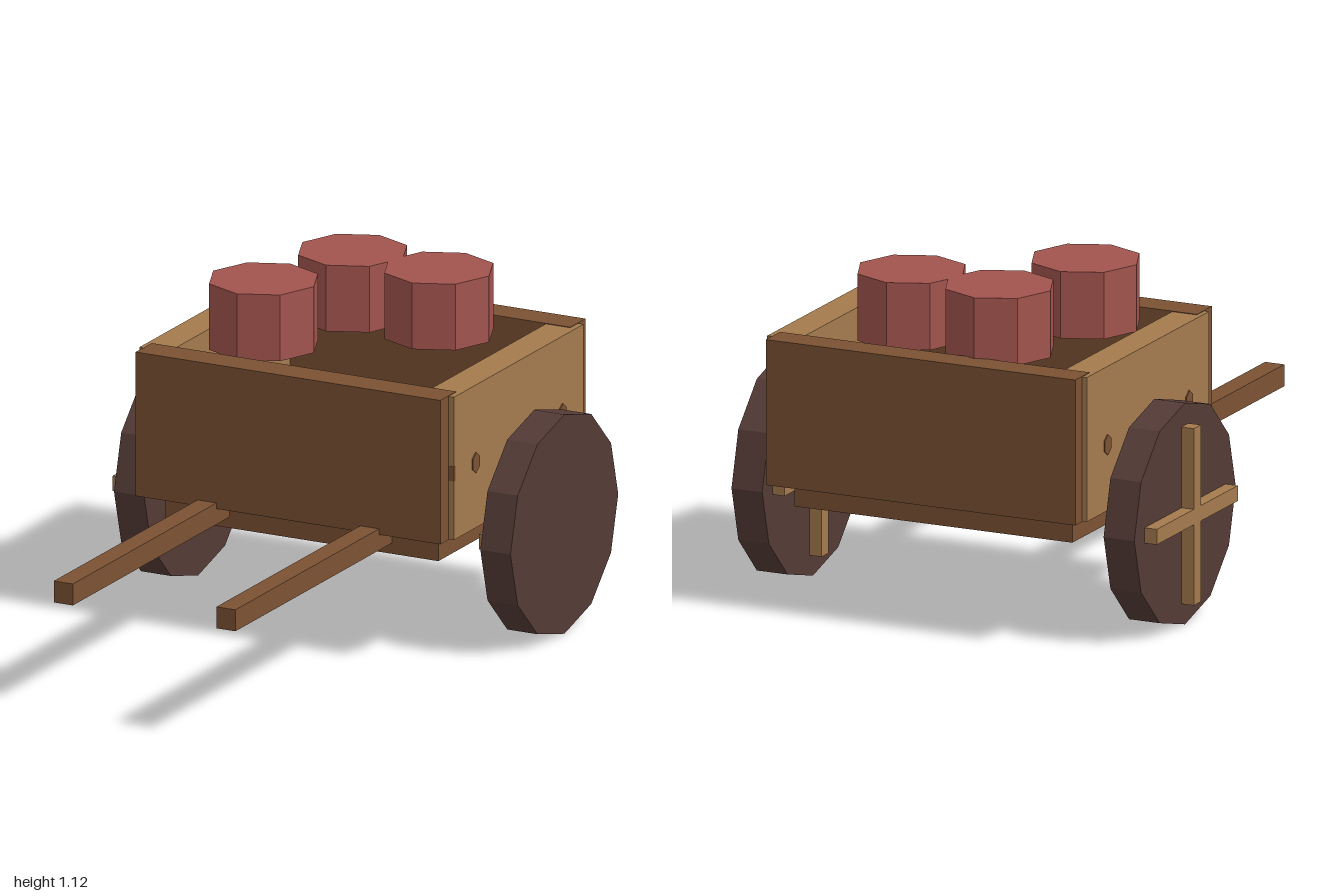
import * as THREE from 'three';

const mat = (name, color) => {
  const m = new THREE.MeshStandardMaterial({ color });
  m.name = name;
  return m;
};

export function createModel() {
  const cart = new THREE.Group();
  cart.name = 'handcart';
  const darkWood = mat('dark wood', 0x7b5233);
  const lightWood = mat('light wood', 0xa47a4e);
  const wheelWood = mat('wheel wood', 0x543b36);
  const clay = mat('red clay', 0xa2544e);

  const add = (name, geometry, material, parent = cart) => {
    const mesh = new THREE.Mesh(geometry, material);
    mesh.name = name;
    parent.add(mesh);
    return mesh;
  };
  // Box given by its limits along each axis
  const box = (name, material, [x0, x1], [y0, y1], [z0, z1], parent) => {
    const g = new THREE.BoxGeometry(x1 - x0, y1 - y0, z1 - z0);
    g.translate((x0 + x1) / 2, (y0 + y1) / 2, (z0 + z1) / 2);
    return add(name, g, material, parent);
  };
  // Faceted prism
  const prism = (radius, height, sides) =>
    new THREE.CylinderGeometry(radius, radius, height, sides).toNonIndexed();
  const faceted = (geometry) => {
    geometry.computeVertexNormals();
    return geometry;
  };

  // Cart bed: floor, end panels and side panels
  box('floor', darkWood, [-0.48, 0.525], [0.34, 0.455], [-0.9, -0.085]);
  box('frontPanel', darkWood, [-0.54, 0.58], [0.43, 0.92], [-0.105, 0.005]);
  box('backPanel', darkWood, [-0.54, 0.58], [0.43, 0.92], [-1, -0.895]);
  box('leftPanel', lightWood, [0.49, 0.6], [0.432, 0.918], [-0.95, -0.052]);
  box('rightPanel', lightWood, [-0.557, -0.45], [0.432, 0.918], [-0.95, -0.052]);

  // Wooden pegs showing on the side panels
  for (const x of [0.6, -0.557]) {
    for (const z of [-0.2, -0.8]) {
      const g = prism(1, 0.008, 6);
      g.rotateZ(Math.PI / 2).rotateX(Math.PI / 2).scale(1, 0.035, 0.027);
      add('peg', faceted(g), darkWood).position.set(x, 0.655, z);
    }
  }
  // Peg end on the front edge of the left panel
  box('pegEnd', darkWood, [0.575, 0.601], [0.632, 0.682], [-0.06, -0.05]);

  // Pull shafts
  for (const x of [-0.278, 0.32]) {
    box('shaft', darkWood, [x - 0.035, x + 0.035], [0.377, 0.45], [-0.1, 1]);
  }

  // Wheels, each with a cross brace on its right-hand face
  for (const x of [0.695, -0.652]) {
    const wheel = new THREE.Group();
    wheel.name = 'wheel';
    wheel.position.set(x, 0.375, -0.533);
    const disc = prism(0.373, 0.111, 12);
    disc.rotateZ(Math.PI / 2);
    add('wheelDisc', faceted(disc), wheelWood, wheel);
    box('uprightBrace', lightWood, [-0.1, -0.05], [-0.298, 0.298], [-0.026, 0.026], wheel);
    box('crossBrace', lightWood, [-0.1, -0.05], [-0.026, 0.026], [-0.298, 0.298], wheel);
    cart.add(wheel);
  }

  // Eight-sided pots
  for (const [x, z] of [[-0.13, -0.725], [0.208, -0.685], [-0.24, -0.315]]) {
    add('pot', faceted(prism(0.185, 0.225, 8)), clay).position.set(x, 1.0125, z);
  }

  return cart;
}
